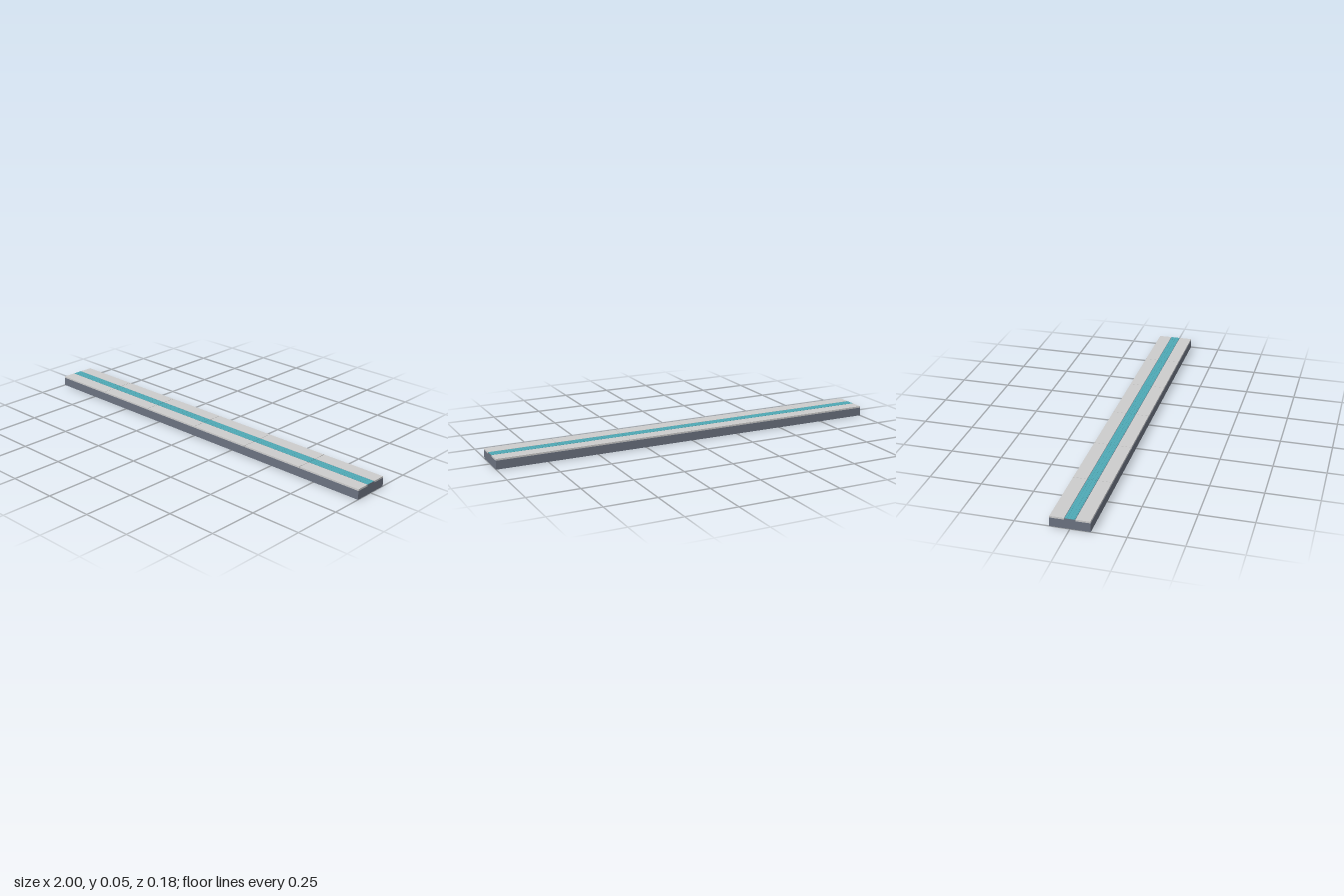
import * as THREE from 'three';
import { mergeGeometries } from 'three/addons/utils/BufferGeometryUtils.js';

export function createModel() {
  const model = new THREE.Group();
  const paint = (color) => new THREE.MeshStandardMaterial({ color });
  const concrete = paint(0x6b7280);
  const paving = paint(0xd2d3d2);
  const tactile = paint(0x4fa9b5);

  const box = (name, material, size, position) => {
    const mesh = new THREE.Mesh(new THREE.BoxGeometry(...size), material);
    mesh.name = name;
    mesh.position.set(...position);
    model.add(mesh);
  };

  // Long base with a raised bed for the central strip
  box('base', concrete, [2, 0.042, 0.184], [0, 0.021, 0]);
  box('stripBed', concrete, [2, 0.007, 0.05], [0, 0.0455, 0]);

  // Six bays of paving slabs on both sides, and tiles between them
  const bays = 6, bay = 2 / bays, joint = 0.002;
  for (let i = 0; i < bays; i++) {
    const x = -1 + bay * (i + 0.5);
    for (const side of [-1, 1]) {
      box('pavingSlab', paving, [bay - joint, 0.008, 0.065], [x, 0.046, side * 0.058]);
    }
    box('tactileTile', tactile, [bay - joint, 0.002, 0.046], [x, 0.049, 0]);
  }

  // Three rows of small raised studs along the strip
  const studs = [];
  const count = 138, pitch = 2 / count;
  for (let i = 0; i < count; i++) {
    for (const row of [-1, 0, 1]) {
      studs.push(new THREE.CylinderGeometry(0.003, 0.0045, 0.002, 8)
        .translate(-1 + pitch * (i + 0.5), 0.0508, row * 0.0143));
    }
  }
  const studMesh = new THREE.Mesh(mergeGeometries(studs), tactile);
  studMesh.name = 'tactileStuds';
  model.add(studMesh);

  return model;
}
